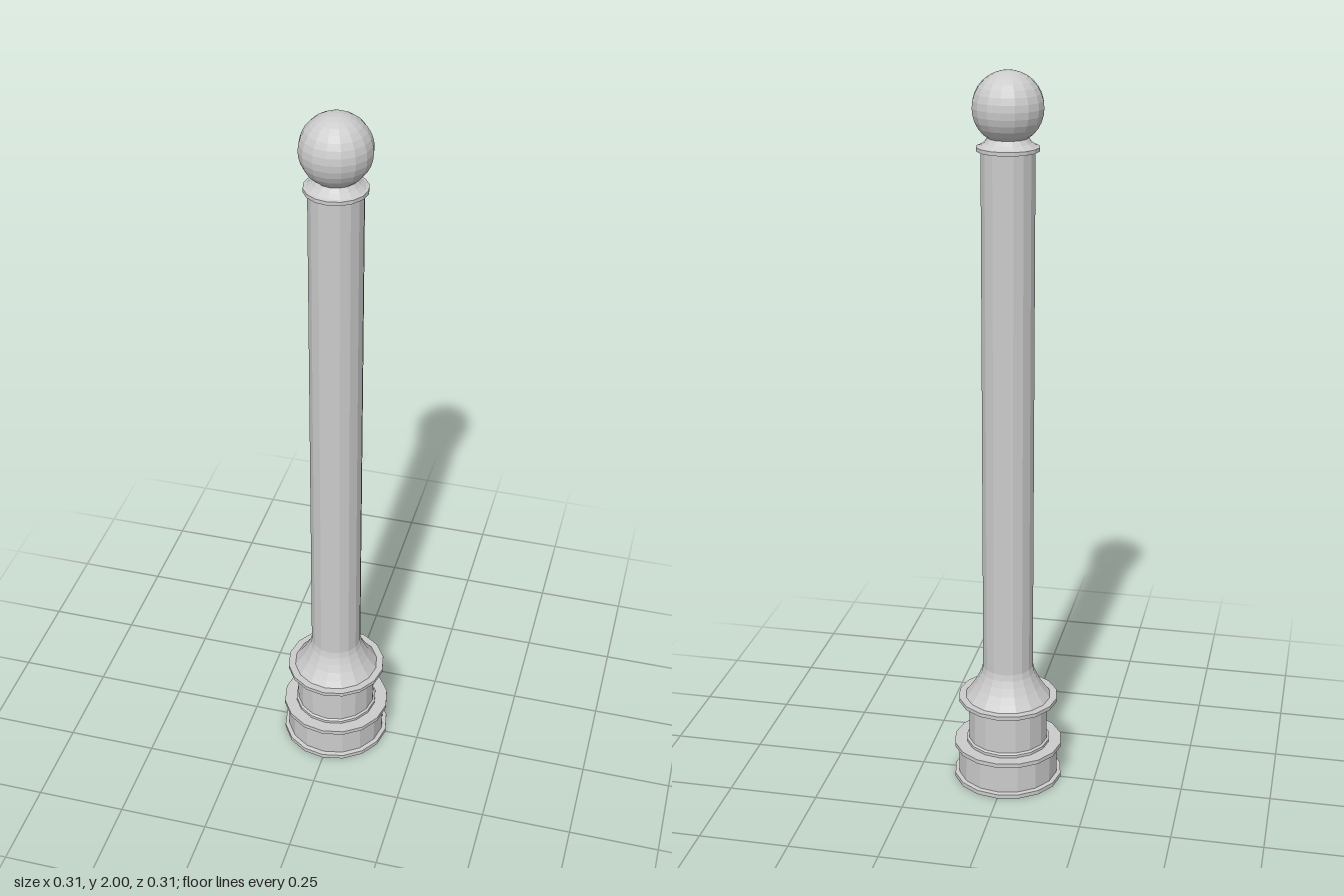
import * as THREE from 'three';

const SIDES = 16;

export function createModel() {
  const group = new THREE.Group();
  group.name = 'bollardPost';
  const material = new THREE.MeshStandardMaterial({ color: 0xcccccc, flatShading: true });

  const add = (name, geometry, y = 0) => {
    const mesh = new THREE.Mesh(geometry, material);
    mesh.name = name;
    mesh.position.y = y;
    group.add(mesh);
  };
  // Turned part from [radius, height] pairs, listed bottom to top
  const turn = (name, profile) =>
    add(name, new THREE.LatheGeometry(profile.map(([r, y]) => new THREE.Vector2(r, y)), SIDES));

  // Plinth with a lip at the foot and at the top
  turn('plinth', [
    [0, 0], [0.153, 0], [0.153, 0.012], [0.141, 0.014], [0.141, 0.098],
    [0.153, 0.098], [0.153, 0.11], [0.113, 0.11],
  ]);

  // Drum and the flange that caps it
  turn('drum', [
    [0.118, 0.11], [0.118, 0.118], [0.112, 0.122], [0.112, 0.24],
    [0.14, 0.24], [0.14, 0.251], [0.118, 0.251],
  ]);

  // Concave flare running into the shaft
  turn('flare', [
    [0.12, 0.251], [0.107, 0.268], [0.094, 0.287], [0.083, 0.308], [0.075, 0.327], [0.071, 0.345],
  ]);
  turn('shaft', [[0.071, 0.345], [0.071, 1.798]]);

  // Collar and the neck under the ball
  turn('collar', [
    [0.071, 1.798], [0.082, 1.798], [0.082, 1.808], [0.074, 1.81],
    [0.062, 1.819], [0.052, 1.831], [0.046, 1.842],
  ]);

  // Ball finial
  add('ball', new THREE.SphereGeometry(0.093, SIDES, 16), 1.907);

  return group;
}
